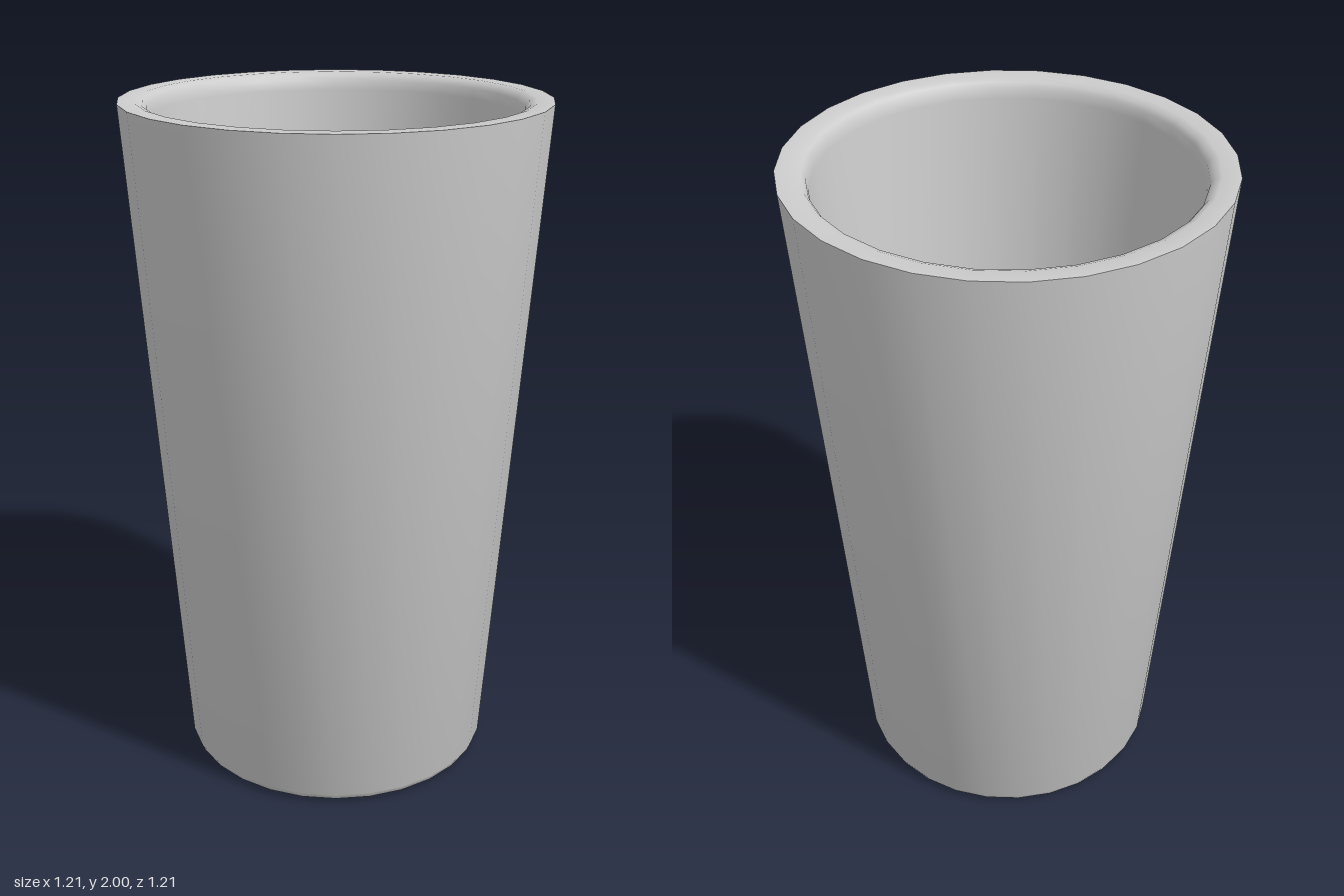
import * as THREE from 'three';
import { toCreasedNormals } from 'three/addons/utils/BufferGeometryUtils.js';

const SIDES = 28;

export function createModel() {
  const group = new THREE.Group();
  group.name = 'tumbler';

  const profile = [
    // underside with a shallow hollow
    [0, 0.05], [0.13, 0.05], [0.27, 0.025], [0.38, 0.004], [0.42, 0],
    // rounded foot
    [0.44, 0.003], [0.455, 0.012], [0.463, 0.03],
    // tapered outer wall and flat rim
    [0.605, 2], [0.555, 2],
    // softened inner lip
    [0.537, 1.993], [0.526, 1.978], [0.521, 1.95],
    // inner wall down to the thick floor
    [0.4, 0.22], [0, 0.22],
  ].map(([r, y]) => new THREE.Vector2(r, y));

  const geometry = toCreasedNormals(new THREE.LatheGeometry(profile, SIDES), 0.75);
  const glass = new THREE.Mesh(geometry, new THREE.MeshStandardMaterial({ color: 0xcccccc }));
  glass.name = 'cupBody';
  group.add(glass);
  return group;
}
